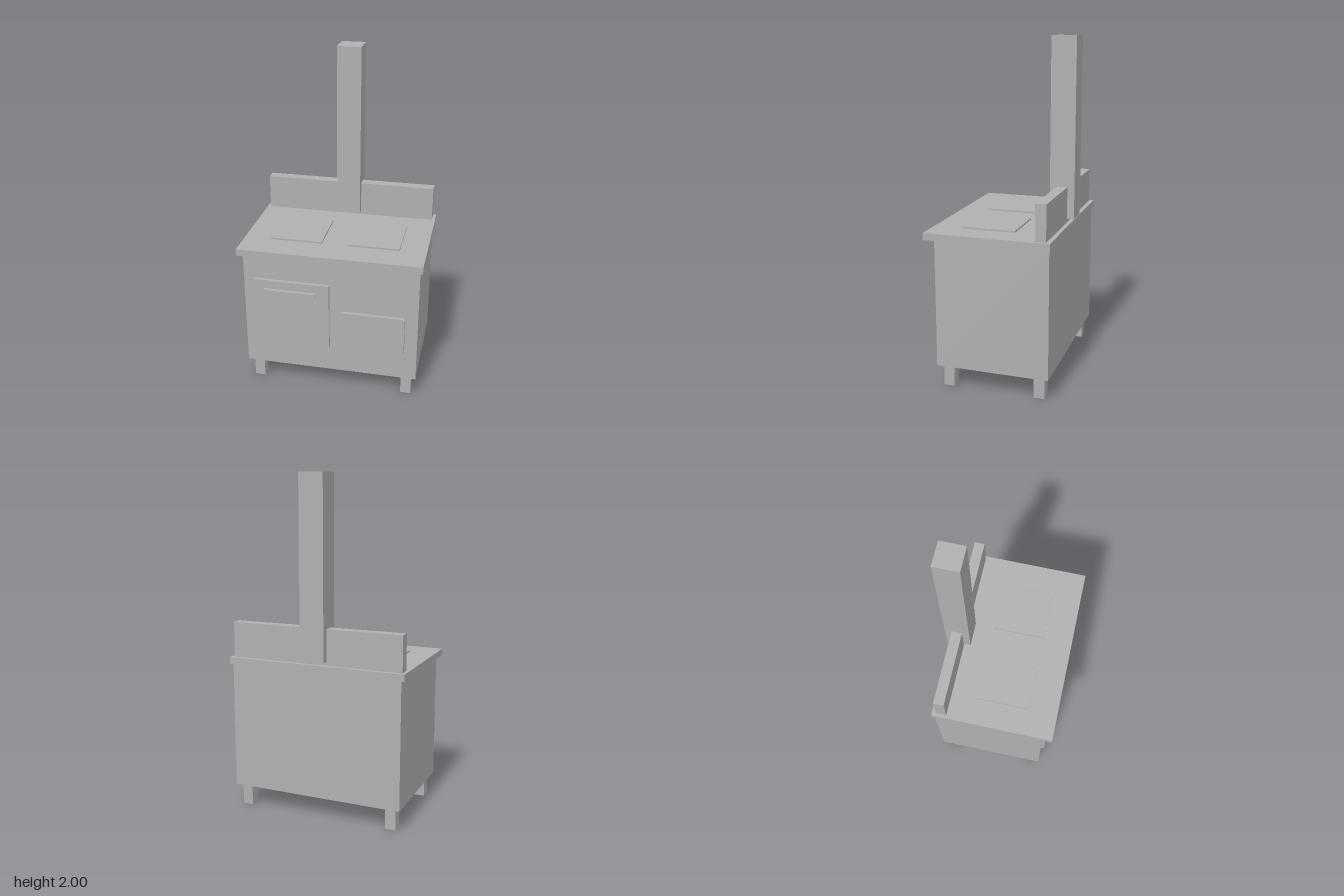
import * as THREE from 'three';

export function createModel() {
  const model = new THREE.Group();
  model.name = 'stove';
  const iron = new THREE.MeshStandardMaterial({ color: 0xb0b0b0, side: THREE.DoubleSide });
  iron.name = 'grey iron';

  // Box given by its extents along each axis
  function box(name, [x0, x1], [y0, y1], [z0, z1]) {
    const mesh = new THREE.Mesh(new THREE.BoxGeometry(x1 - x0, y1 - y0, z1 - z0), iron);
    mesh.position.set((x0 + x1) / 2, (y0 + y1) / 2, (z0 + z1) / 2);
    mesh.name = name;
    model.add(mesh);
  }

  // Body, cooking top, back panel and flue
  box('body', [-0.526, 0.526], [0.13, 0.886], [-0.353, 0.314]);
  box('cookingTop', [-0.546, 0.546], [0.886, 0.927], [-0.361, 0.374]);
  box('backPanel', [-0.526, 0.526], [0.927, 1.137], [-0.335, -0.272]);
  box('flue', [-0.073, 0.073], [0.948, 2], [-0.377, -0.23]);

  // Hot plates
  box('rightHotPlate', [-0.388, -0.074], [0.927, 0.937], [-0.116, 0.199]);
  box('leftHotPlate', [0.074, 0.388], [0.927, 0.937], [-0.116, 0.199]);

  // Front doors and handle
  box('ovenDoor', [-0.464, -0.003], [0.3, 0.719], [0.314, 0.335]);
  box('ovenHandle', [-0.391, -0.078], [0.643, 0.666], [0.335, 0.357]);
  box('fireDoor', [0.074, 0.45], [0.3, 0.55], [0.314, 0.335]);

  // Hollow square legs, open underneath
  const legGeometry = new THREE.CylinderGeometry(0.0445, 0.0445, 0.13, 4, 1, true)
    .rotateY(Math.PI / 4).toNonIndexed();
  legGeometry.computeVertexNormals();
  for (const x of [-0.464, 0.464]) {
    for (const z of [-0.293, 0.252]) {
      const leg = new THREE.Mesh(legGeometry, iron);
      leg.position.set(x, 0.065, z);
      leg.name = (z > 0 ? 'front' : 'back') + (x > 0 ? 'Left' : 'Right') + 'Leg';
      model.add(leg);
    }
  }
  return model;
}
